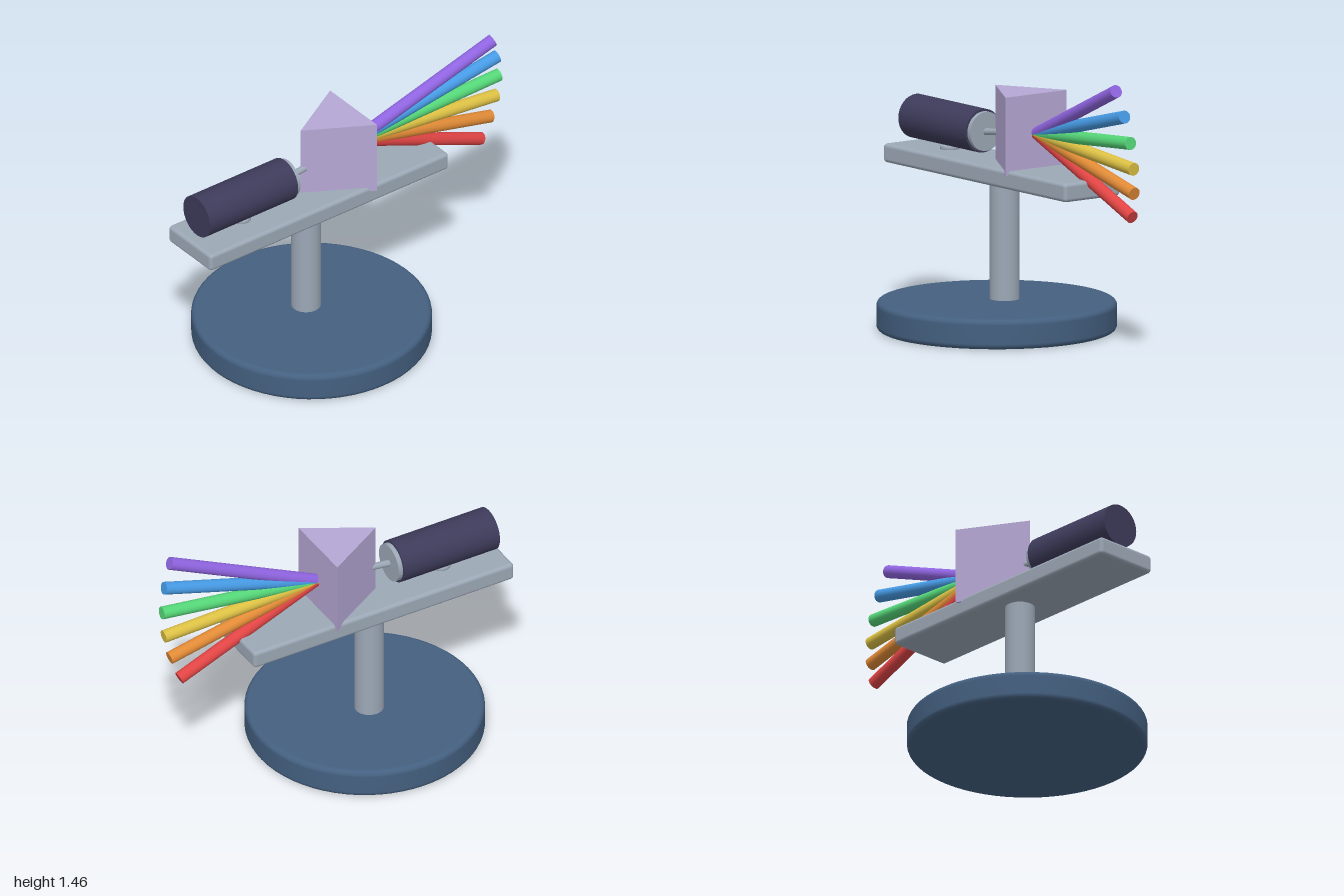
import * as THREE from 'three';
import { RoundedBoxGeometry } from 'three/addons/geometries/RoundedBoxGeometry.js';

const mat = (name, color) => {
  const m = new THREE.MeshStandardMaterial({ color });
  m.name = name;
  return m;
};

// Solid disc along y with rounded rims, standing on y = 0
function roundedDisc(radius, height, bevel) {
  const pts = [new THREE.Vector2(0, 0)];
  for (let i = 0; i <= 6; i++) {
    const a = -Math.PI / 2 + (i / 6) * Math.PI / 2;
    pts.push(new THREE.Vector2(radius - bevel + bevel * Math.cos(a), bevel + bevel * Math.sin(a)));
  }
  for (let i = 0; i <= 6; i++) {
    const a = (i / 6) * Math.PI / 2;
    pts.push(new THREE.Vector2(radius - bevel + bevel * Math.cos(a), height - bevel + bevel * Math.sin(a)));
  }
  pts.push(new THREE.Vector2(0, height));
  return new THREE.LatheGeometry(pts, 64);
}

export function createModel() {
  const group = new THREE.Group();
  const navy = mat('navy', 0x446080);
  const steel = mat('steel', 0x9ca8b6);
  const dark = mat('darkIndigo', 0x3d3b5a);
  const glass = mat('lavender', 0xb5a7d4);

  const add = (name, geometry, material, x = 0, y = 0, z = 0) => {
    const mesh = new THREE.Mesh(geometry, material);
    mesh.name = name;
    mesh.position.set(x, y, z);
    group.add(mesh);
    return mesh;
  };

  // Cylinder running between two points
  const rod = (name, from, to, radius, material) => {
    const a = new THREE.Vector3(...from), b = new THREE.Vector3(...to);
    const dir = b.clone().sub(a);
    const mesh = add(name, new THREE.CylinderGeometry(radius, radius, dir.length(), 32), material);
    mesh.position.copy(a).add(b).multiplyScalar(0.5);
    mesh.quaternion.setFromUnitVectors(new THREE.Vector3(0, 1, 0), dir.normalize());
    return mesh;
  };

  // Stand
  add('base', roundedDisc(0.63, 0.16, 0.03), navy, -0.215, 0, 0);
  rod('column', [-0.213, 0.14, -0.05], [-0.213, 0.82, -0.05], 0.078, steel);
  add('bench', new RoundedBoxGeometry(1.575, 0.1, 0.365, 4, 0.02), steel, -0.212, 0.847, -0.029);

  // Light source
  const z = -0.029;
  add('lampMount', roundedDisc(0.052, 0.03, 0.012), steel, -0.658, 0.89, z);
  rod('lampBody', [-0.95, 1.031, z], [-0.37, 1.031, z], 0.116, dark);
  rod('lampRing', [-0.372, 1.031, z], [-0.345, 1.031, z], 0.104, steel);
  rod('incomingRay', [-0.35, 1.029, z], [-0.235, 1.044, z], 0.018, steel);

  // Triangular prism, one edge towards the lamp
  const triangle = new THREE.Shape([
    new THREE.Vector2(-0.265, 0.029),
    new THREE.Vector2(0.085, -0.171),
    new THREE.Vector2(0.085, 0.231),
  ]);
  const prism = new THREE.ExtrudeGeometry(triangle, { depth: 0.418, bevelEnabled: false });
  prism.rotateX(-Math.PI / 2);
  add('prism', prism, glass, 0, 0.872, 0);

  // Fan of coloured rays
  const rays = [
    ['red', 0xe04444, 0.922, 0.75, -0.025],
    ['orange', 0xe08a36, 0.968, 0.884, -0.003],
    ['yellow', 0xdcc044, 0.991, 1.019, 0.018],
    ['green', 0x55d678, 0.991, 1.159, 0.039],
    ['blue', 0x469ae4, 0.966, 1.298, 0.059],
    ['violet', 0x8f64e0, 0.92, 1.43, 0.08],
  ];
  for (const [name, color, x, y, rz] of rays) {
    rod(name + 'Ray', [0.1, 1.083, -0.027], [x, y, rz], 0.034, mat(name, color));
  }
  return group;
}
